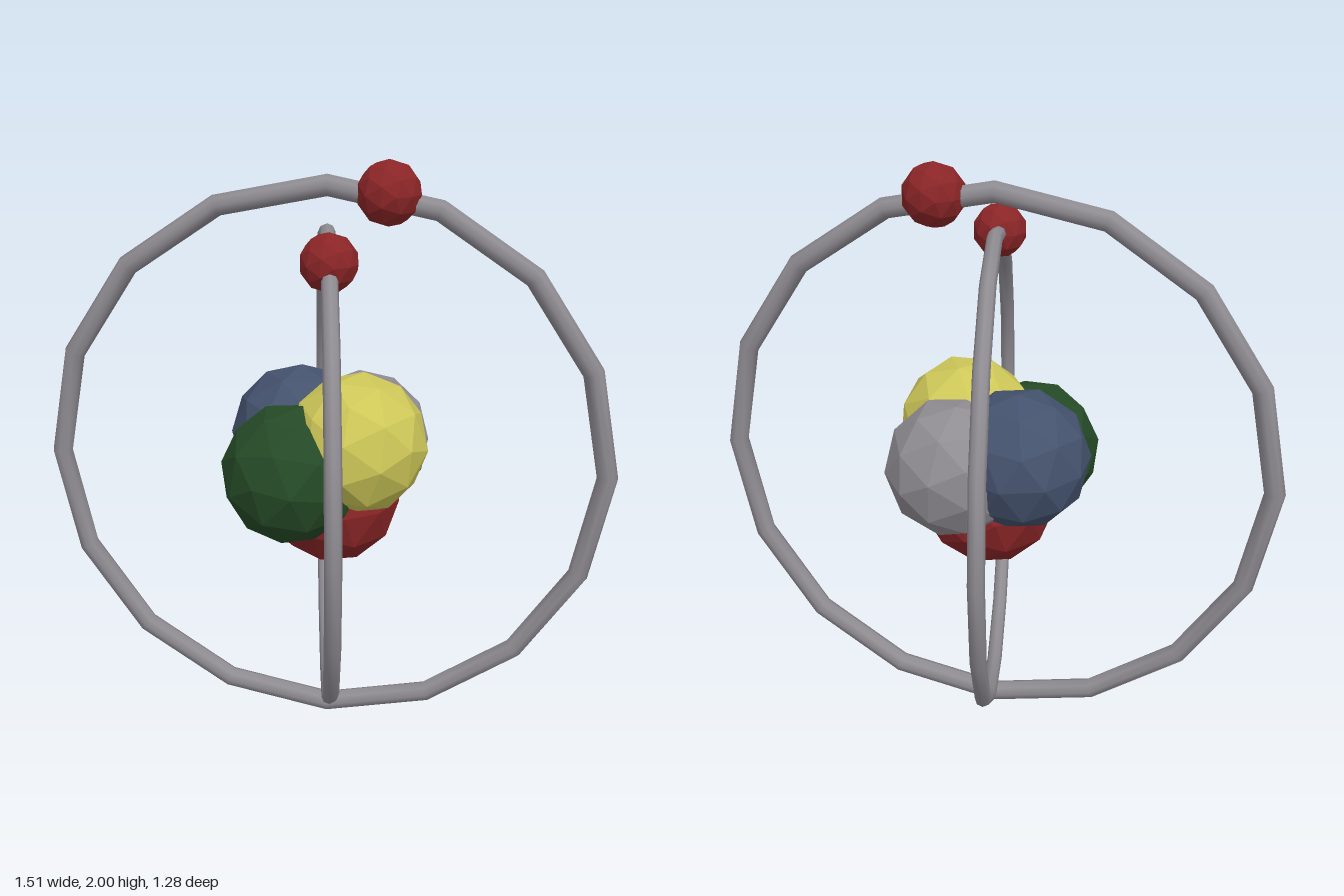
import * as THREE from 'three';

const paint = (name, color) => {
  const m = new THREE.MeshStandardMaterial({ color });
  m.name = name;
  return m;
};

export function createModel() {
  const model = new THREE.Group();
  model.name = 'atom';
  const grey = paint('grey', 0x8f8c92);
  const red = paint('red', 0x8a2527);
  const green = paint('green', 0x254a26);
  const yellow = paint('yellow', 0xcdc758);
  const blue = paint('blue', 0x44526d);
  const centreY = 0.98;

  // Low-poly faceted ball
  const ball = (name, r, mat, pos, turn = 0) => {
    const geo = new THREE.IcosahedronGeometry(r, 1); // non-indexed
    geo.computeVertexNormals(); // one normal per facet
    const mesh = new THREE.Mesh(geo, mat);
    mesh.name = name;
    mesh.position.set(...pos);
    mesh.rotation.set(turn, turn * 0.7, 0);
    model.add(mesh);
  };

  // Nucleus: five overlapping balls
  const nucleus = [
    ['nucleusBottom', red, [0.01, 0.87, -0.015]],
    ['nucleusFront', green, [0.015, 0.995, 0.17]],
    ['nucleusLeft', yellow, [0.14, 1.09, -0.01]],
    ['nucleusRight', blue, [-0.14, 1.06, 0]],
    ['nucleusBack', grey, [-0.01, 1.03, -0.17]],
  ];
  nucleus.forEach(([name, mat, pos], i) => ball(name, 0.237, mat, pos, i * 0.5));

  // Two upright orbits, each carrying one electron near the top
  const orbits = [
    ['outer', 0.94, 0.035, 0.7, 0.105, 0.21],
    ['inner', 0.794, 0.026, -0.705, 0.092, 0.338],
  ];
  for (const [name, R, tube, turn, size, lean] of orbits) {
    const ring = new THREE.Mesh(new THREE.TorusGeometry(R, tube, 8, 16), grey);
    ring.name = name + 'Orbit';
    ring.position.y = centreY;
    ring.rotation.y = turn;
    model.add(ring);
    const out = R * Math.sin(lean);
    ball(name + 'Electron', size, red, [
      out * Math.cos(turn), centreY + R * Math.cos(lean), -out * Math.sin(turn),
    ]);
  }
  return model;
}
